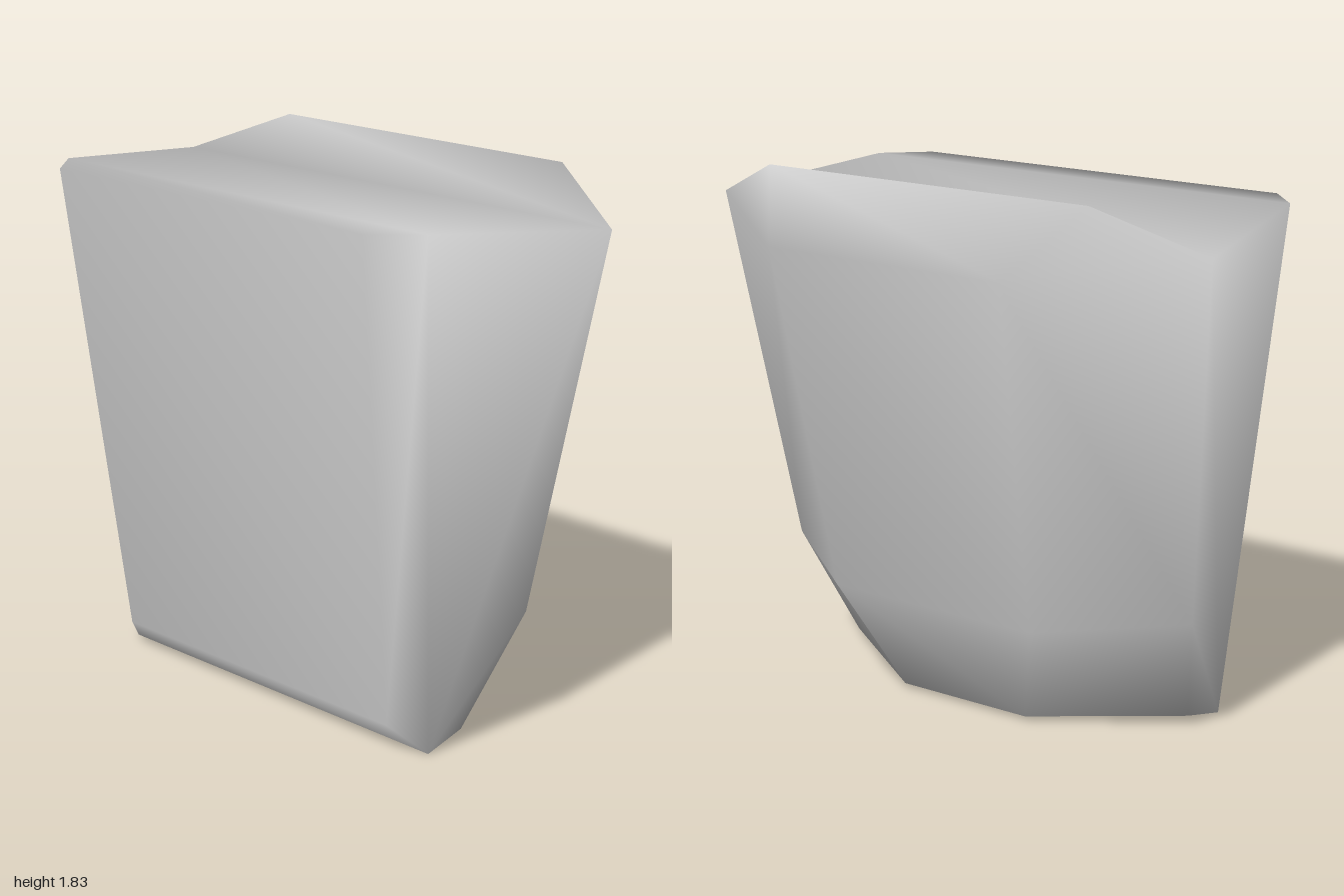
import * as THREE from 'three';

// Closed side profile (first ten points, clockwise from the front) plus the
// corner low on the end wall; z is the half width at that point.
const points = {
  backRim: [-0.59, 1.74, 0.73],
  shoulder: [-0.45, 1.74, 0.865],
  valley: [0.22, 1.68, 1.0],
  ridge: [0.375, 1.825, 0.65],
  brow: [0.587, 1.6, 0.47],
  chin: [0.345, 0.395, 0.41],
  toe: [0.165, 0.015, 0.26],
  sole: [-0.13, 0.035, 0.72],
  heel: [-0.295, 0.0, 0.735],
  backFoot: [-0.395, 0.1, 0.645],
  endCorner: [0.04, 0.43, 0.84],
};

// Faces of one end wall, counter-clockwise from outside
const endFaces = [
  ['backFoot', 'heel', 'shoulder', 'backRim'],
  ['heel', 'endCorner', 'valley', 'shoulder'],
  ['endCorner', 'chin', 'brow', 'valley'],
  ['valley', 'brow', 'ridge'],
  ['heel', 'sole', 'endCorner'],
  ['sole', 'toe', 'endCorner'],
  ['toe', 'chin', 'endCorner'],
];

export function createModel() {
  const names = Object.keys(points);
  const n = names.length;
  const ringSize = n - 1;
  const positions = [];
  for (const side of [1, -1]) {
    for (const [x, y, z] of Object.values(points)) positions.push(x, y, z * side);
  }

  const index = [];
  // Strips running across the body between the two ends
  for (let i = 0; i < ringSize; i++) {
    const j = (i + 1) % ringSize;
    index.push(i, j, j + n, i, j + n, i + n);
  }
  // Mirrored end walls
  for (const face of endFaces) {
    const f = face.map((name) => names.indexOf(name));
    for (let k = 1; k < f.length - 1; k++) {
      index.push(f[0], f[k], f[k + 1]);
      index.push(f[0] + n, f[k + 1] + n, f[k] + n);
    }
  }

  const geometry = new THREE.BufferGeometry();
  geometry.setAttribute('position', new THREE.Float32BufferAttribute(positions, 3));
  geometry.setIndex(index);
  geometry.computeVertexNormals(); // shared corners keep the whole body smooth

  const lightGrey = new THREE.MeshStandardMaterial({ color: 0xcccccc });
  lightGrey.name = 'lightGrey';

  const body = new THREE.Mesh(geometry, lightGrey);
  body.name = 'pouchBody';

  const group = new THREE.Group();
  group.name = 'pouch';
  group.add(body);
  return group;
}
